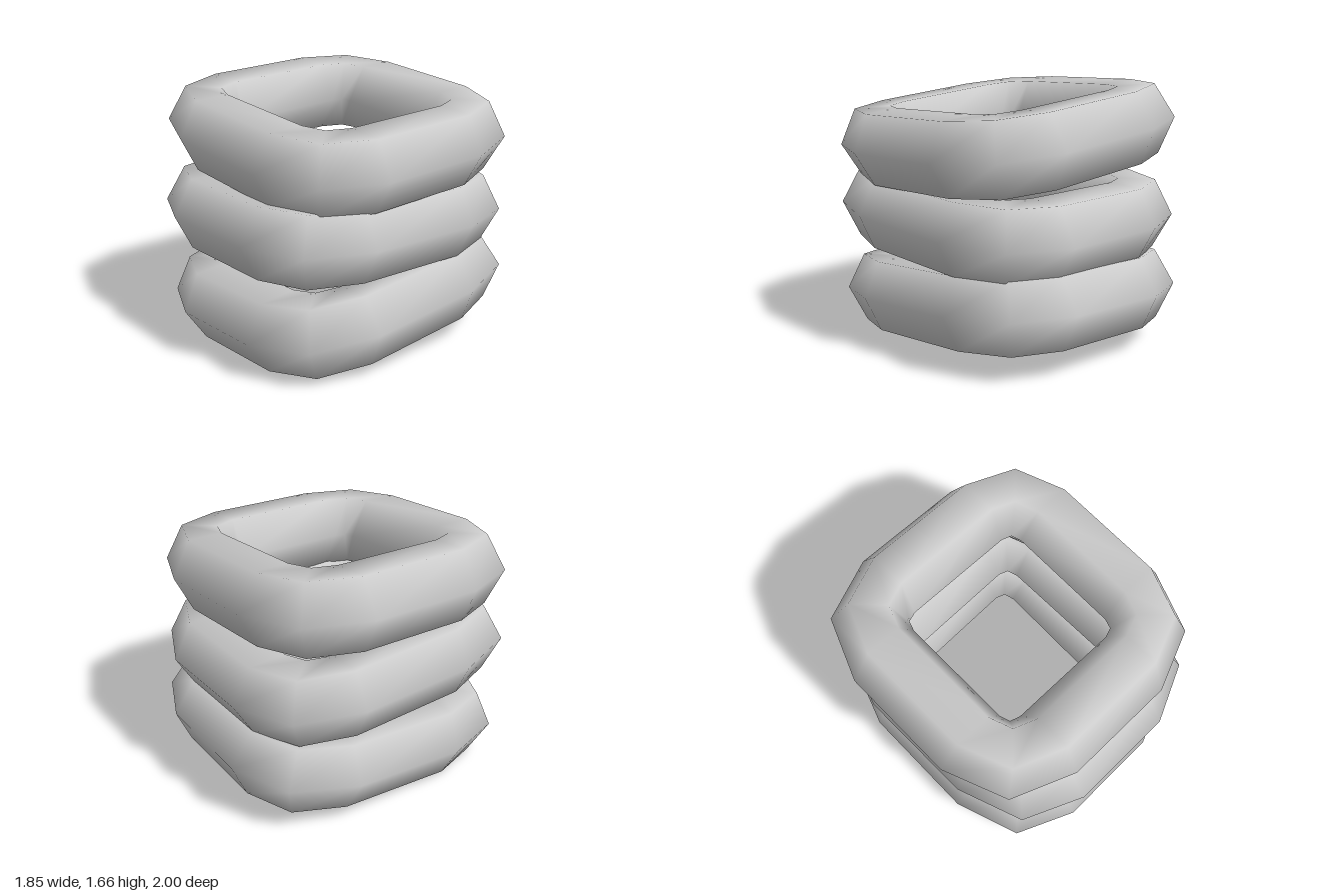
import * as THREE from 'three';

const SIDES = 6; // hexagonal tube section
const TUBE_X = 0.235, TUBE_Y = 0.26;

// One rounded corner of the square centre line: x, z and outward direction
const D = Math.SQRT1_2;
const CORNER = [
  [0.37, 0.69, 0, 1],
  [0.6, 0.6, D, D],
  [0.69, 0.37, 1, 0],
];

// Closed tube swept round a square with three sections per corner
function squareRingGeometry() {
  const positions = [], index = [];
  for (let q = 0; q < 4; q++) {
    for (const corner of CORNER) {
      let [x, z, nx, nz] = corner;
      for (let k = 0; k < q; k++) [x, z, nx, nz] = [z, -x, nz, -nx];
      for (let j = 0; j < SIDES; j++) {
        const a = (j / SIDES) * Math.PI * 2;
        const out = Math.cos(a) * TUBE_X;
        positions.push(x + nx * out, Math.sin(a) * TUBE_Y, z + nz * out);
      }
    }
  }
  const sections = 12;
  for (let i = 0; i < sections; i++) {
    for (let j = 0; j < SIDES; j++) {
      const i2 = (i + 1) % sections, j2 = (j + 1) % SIDES;
      const a = i * SIDES + j, b = i2 * SIDES + j;
      const c = i2 * SIDES + j2, d = i * SIDES + j2;
      index.push(a, b, c, a, c, d);
    }
  }
  const geometry = new THREE.BufferGeometry();
  geometry.setAttribute('position', new THREE.Float32BufferAttribute(positions, 3));
  geometry.setIndex(index);
  geometry.computeVertexNormals();
  return geometry;
}

export function createModel() {
  const group = new THREE.Group();
  group.name = 'stackedRings';
  const material = new THREE.MeshStandardMaterial({ color: 0xcccccc });
  const geometry = squareRingGeometry();

  // Each ring leans a little differently in the stack
  const rings = [
    { name: 'bottomRing', y: 0.315, z: -0.018, tiltX: 0.092, tiltZ: 0.035, sx: 0.945, sz: 1.065 },
    { name: 'middleRing', y: 0.838, z: 0.018, tiltX: -0.026, tiltZ: -0.006, sx: 0.945, sz: 1.065 },
    { name: 'topRing', y: 1.35, z: 0, tiltX: 0.04, tiltZ: -0.086, sx: 1.005, sz: 0.995 },
  ];
  for (const r of rings) {
    const ring = new THREE.Mesh(geometry, material);
    ring.name = r.name;
    ring.position.set(0, r.y, r.z);
    ring.rotation.set(r.tiltX, 0, r.tiltZ);
    ring.scale.set(r.sx, 1, r.sz);
    group.add(ring);
  }
  return group;
}
